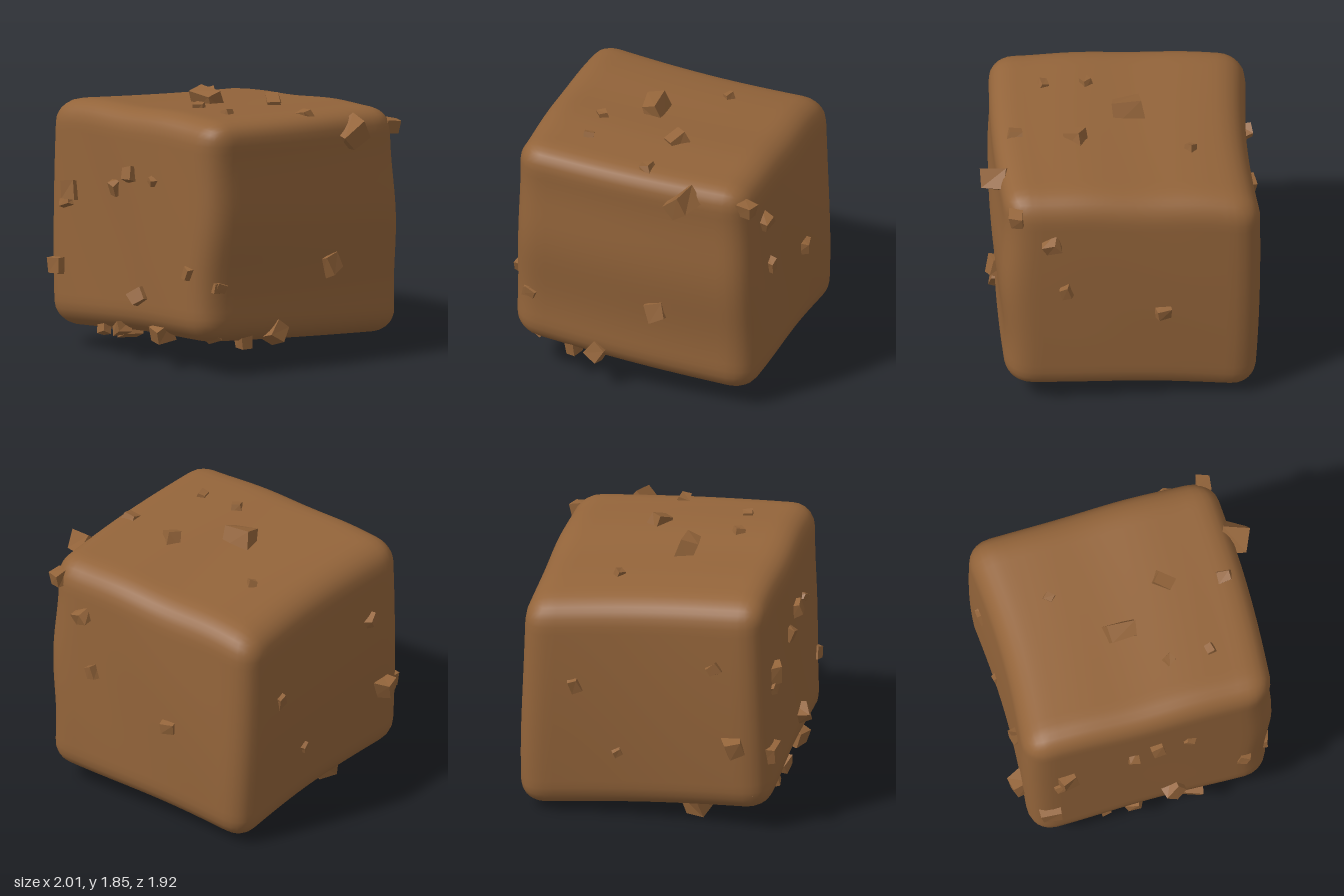
import * as THREE from 'three';
import { mergeVertices } from 'three/addons/utils/BufferGeometryUtils.js';

const { clamp, lerp, degToRad } = THREE.MathUtils;

// Small seeded generator, returns -1..1
function seeded(seed) {
  let s = seed;
  return () => {
    s = (s * 16807) % 2147483647;
    return (s / 2147483647) * 2 - 1;
  };
}

// Uneven side positions of the block; inputs run from -1 to 1 across each side
const sides = {
  left: (y, z) => 0.85 - 0.012 * z + 0.018 * y * (z + 1) + 0.03 * Math.cos(z * 1.8) + 0.015 * Math.cos(y * 5 - 0.3),
  right: (y, z) => -0.935 + 0.045 * Math.cos(z * 1.8) - 0.02 * y + 0.022 * y * y,
  top: (x, z) => 1.715 + 0.035 * x + 0.045 * z + 0.022 * (1 - x * x) + 0.006 * Math.sin(x * 7 - 0.8) - 0.015 * (1 - x) * (1 - z),
  bottom: (x, z) => 0.12 + 0.055 * x + 0.068 * z + 0.008 * Math.cos(x * 3),
  front: (x, y) => 0.872 - 0.018 * y + 0.006 * Math.sin(x * 4 + y * 2),
  back: (x, y) => -0.9 + 0.018 * y + 0.015 * y * y + 0.006 * Math.sin(x * 4 - y * 3),
};

// Rounded cube whose six sides follow the rules above
function blockGeometry() {
  const geo = new THREE.BoxGeometry(2, 2, 2, 28, 28, 28);
  geo.deleteAttribute('uv');
  geo.deleteAttribute('normal');
  const pos = geo.attributes.position;
  const p = new THREE.Vector3();
  const core = new THREE.Vector3();
  const radius = 0.21;
  const inner = 1 - radius;
  for (let i = 0; i < pos.count; i++) {
    p.fromBufferAttribute(pos, i);
    core.set(clamp(p.x, -inner, inner), clamp(p.y, -inner, inner), clamp(p.z, -inner, inner));
    p.sub(core).setLength(radius).add(core);
    const { x, y, z } = p;
    pos.setXYZ(
      i,
      lerp(sides.right(y, z), sides.left(y, z), (x + 1) / 2),
      lerp(sides.bottom(x, z), sides.top(x, z), (y + 1) / 2),
      lerp(sides.back(x, y), sides.front(x, y), (z + 1) / 2)
    );
  }
  const merged = mergeVertices(geo, 1e-4);
  merged.computeVertexNormals();
  return merged;
}

// Tapered, irregular little box with flat faces; its outer side faces +z
function chipGeometry(w, h, d, rand) {
  const box = new THREE.BoxGeometry(w, h, d);
  const pos = box.attributes.position;
  const corners = Array.from({ length: 8 }, () => [rand(), rand(), rand()]);
  for (let i = 0; i < pos.count; i++) {
    const x = pos.getX(i), y = pos.getY(i), z = pos.getZ(i);
    const c = corners[(x > 0 ? 1 : 0) + (y > 0 ? 2 : 0) + (z > 0 ? 4 : 0)];
    const taper = z > 0 ? 0.88 : 1;
    pos.setXYZ(i, x * taper + c[0] * w * 0.1, y * taper + c[1] * h * 0.1, z + c[2] * d * 0.08);
  }
  const flat = box.toNonIndexed();
  flat.computeVertexNormals();
  return flat;
}

// Chips per side: x, y, z, width, height, roll in degrees
const frontChips = [
  [-0.65, 1.11, 0.86, 0.12, 0.13, 8], [-0.68, 1.02, 0.86, 0.11, 0.07, 20],
  [-0.17, 1.2, 0.86, 0.08, 0.1, 0], [-0.01, 1.32, 0.87, 0.09, 0.1, 10],
  [0.23, 1.31, 0.87, 0.07, 0.05, -30], [0.62, 0.71, 0.87, 0.07, 0.09, -15],
  [0.78, 0.62, 0.76, 0.06, 0.08, 0], [0.11, 0.48, 0.88, 0.14, 0.11, 35],
  [-0.77, 0.56, 0.86, 0.14, 0.13, 3], [0.26, 0.23, 0.81, 0.15, 0.12, 5],
  [-0.16, 0.2, 0.82, 0.12, 0.08, 25], [-0.36, 0.16, 0.81, 0.08, 0.06, 15],
];
const backChips = [
  [0.77, 1.56, -0.84, 0.1, 0.11, 10], [0.53, 1.35, -0.88, 0.12, 0.1, 25],
  [0.43, 0.95, -0.89, 0.08, 0.1, 20], [-0.24, 0.74, -0.89, 0.12, 0.1, 5],
];
const leftChips = [
  [0.885, 1.58, -0.4, 0.2, 0.15, 40], [0.85, 0.67, -0.21, 0.13, 0.14, 20],
  [0.81, 0.25, 0.25, 0.13, 0.14, -30], [0.785, 0.62, 0.73, 0.08, 0.07, -20],
];
const rightChips = [
  [-0.935, 0.64, 0.65, 0.12, 0.13, 15], [-0.92, 1.22, 0.5, 0.1, 0.08, 30],
  [-0.885, 1.0, -0.49, 0.08, 0.11, 20], [-0.87, 0.5, -0.2, 0.07, 0.06, 30],
];
const topChips = [
  [-0.48, 1.675, -0.27, 0.07, 0.06, -40], [0.31, 1.73, -0.17, 0.14, 0.1, -40],
  [0.73, 1.71, -0.1, 0.11, 0.09, 0], [-0.07, 1.73, 0.12, 0.2, 0.12, 3],
  [0.2, 1.76, 0.42, 0.08, 0.07, 30], [0.5, 1.76, 0.42, 0.07, 0.07, 15],
];
const bottomChips = [
  [-0.64, 0.09, 0.32, 0.17, 0.16, 30], [0.72, 0.2, 0.45, 0.12, 0.1, 20],
];
// Broken lumps on the corners
const cornerLumps = [
  [0.7, 1.65, 0.71, 0.12, 0.1, 30], [-0.8, 0.25, 0.73, 0.11, 0.11, 20],
  [0.68, 0.29, 0.72, 0.12, 0.11, 10],
];

export function createModel() {
  const model = new THREE.Group();
  model.name = 'dirtBlock';
  const dirt = new THREE.MeshStandardMaterial({ color: 0x93643a });
  dirt.name = 'dirt brown';

  // Main block
  const block = new THREE.Mesh(blockGeometry(), dirt);
  block.name = 'block';
  model.add(block);

  // Chips stuck into each side
  const rand = seeded(4321);
  const addChips = (name, chips, rx, ry) => {
    const group = new THREE.Group();
    group.name = name;
    const facing = new THREE.Quaternion().setFromEuler(new THREE.Euler(rx, ry, 0));
    chips.forEach(([x, y, z, w, h, roll], i) => {
      const chip = new THREE.Mesh(chipGeometry(w, h, (w + h) * 0.5, rand), dirt);
      chip.name = `${name}${i + 1}`;
      chip.position.set(x, y, z);
      const tilt = new THREE.Euler(rand() * 0.35, rand() * 0.35, degToRad(roll));
      chip.quaternion.copy(facing).multiply(new THREE.Quaternion().setFromEuler(tilt));
      group.add(chip);
    });
    model.add(group);
  };
  const q = Math.PI / 2;
  addChips('frontChip', frontChips, 0, 0);
  addChips('backChip', backChips, 0, Math.PI);
  addChips('leftChip', leftChips, 0, q);
  addChips('rightChip', rightChips, 0, -q);
  addChips('topChip', topChips, -q, 0);
  addChips('bottomChip', bottomChips, q, 0);
  addChips('cornerLump', cornerLumps, 0.6, 0.7);

  return model;
}
